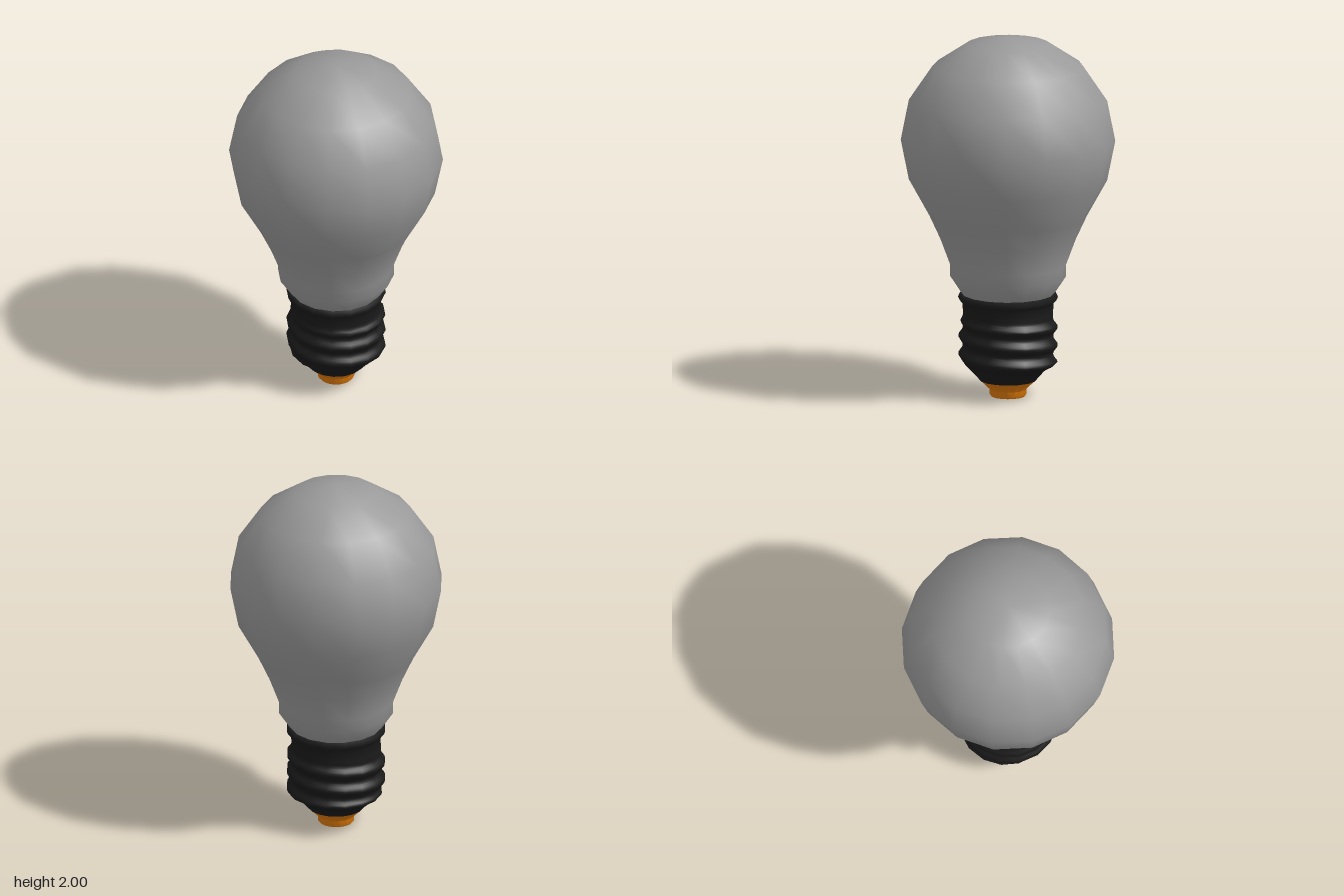
import * as THREE from 'three';
import { mergeVertices, toCreasedNormals } from 'three/addons/utils/BufferGeometryUtils.js';

const SIDES = 16;

function lathe(profile) {
  return new THREE.LatheGeometry(profile.map(([r, y]) => new THREE.Vector2(r, y)), SIDES);
}

// Weld the seam so that the shading runs smoothly all the way round
function smooth(geometry) {
  geometry.deleteAttribute('uv');
  geometry.deleteAttribute('normal');
  const welded = mergeVertices(geometry, 1e-4);
  welded.computeVertexNormals();
  return welded;
}

function part(name, geometry, color) {
  const mesh = new THREE.Mesh(geometry, new THREE.MeshStandardMaterial({ color }));
  mesh.name = name;
  return mesh;
}

// Screw base: a turned core with a helical ridge added to its radius
function screwGeometry() {
  const pitch = 0.1, depth = 0.025, firstPeak = 0.235;
  const profile = [[0.155, 0.09], [0.19, 0.13]];
  for (let i = 0; i <= 28; i++) {
    const y = 0.155 + i * 0.0115;
    profile.push([Math.min(0.245, 0.213 + (y - 0.155) * 0.95), y]);
  }
  // Collar under the glass
  profile.push([0.248, 0.515], [0.262, 0.53], [0.271, 0.55], [0.262, 0.572], [0.2, 0.575]);

  const geometry = lathe(profile);
  const pos = geometry.attributes.position;
  for (let i = 0; i < pos.count; i++) {
    const x = pos.getX(i), y = pos.getY(i), z = pos.getZ(i);
    const r = Math.hypot(x, z);
    const fade = THREE.MathUtils.smoothstep(y, 0.14, 0.185) * (1 - THREE.MathUtils.smoothstep(y, 0.4, 0.45));
    const wave = 0.5 + 0.5 * Math.cos(2 * Math.PI * (y - firstPeak) / pitch + Math.atan2(x, z));
    const scale = 1 + depth * fade * wave / r;
    pos.setXYZ(i, x * scale, y, z * scale);
  }
  return smooth(geometry);
}

export function createModel() {
  const model = new THREE.Group();
  model.name = 'lightBulb';

  // Glass envelope, from the neck up to the crown
  const glass = lathe([
    [0.24, 0.56], [0.255, 0.575], [0.315, 0.665], [0.315, 0.73], [0.367, 0.87], [0.427, 1.0],
    [0.538, 1.2], [0.582, 1.42], [0.538, 1.643], [0.411, 1.83], [0.222, 1.956], [0, 2],
  ]);
  model.add(part('glassBulb', smooth(glass), 0x9a9a9a));

  model.add(part('screwBase', screwGeometry(), 0x1a1a1a));

  // Contact tip on which the bulb stands
  const contact = lathe([[0, 0], [0.092, 0], [0.1, 0.01], [0.1, 0.038], [0.155, 0.092], [0, 0.092]]);
  model.add(part('contactTip', toCreasedNormals(contact, 0.85), 0xe07a08));

  return model;
}
